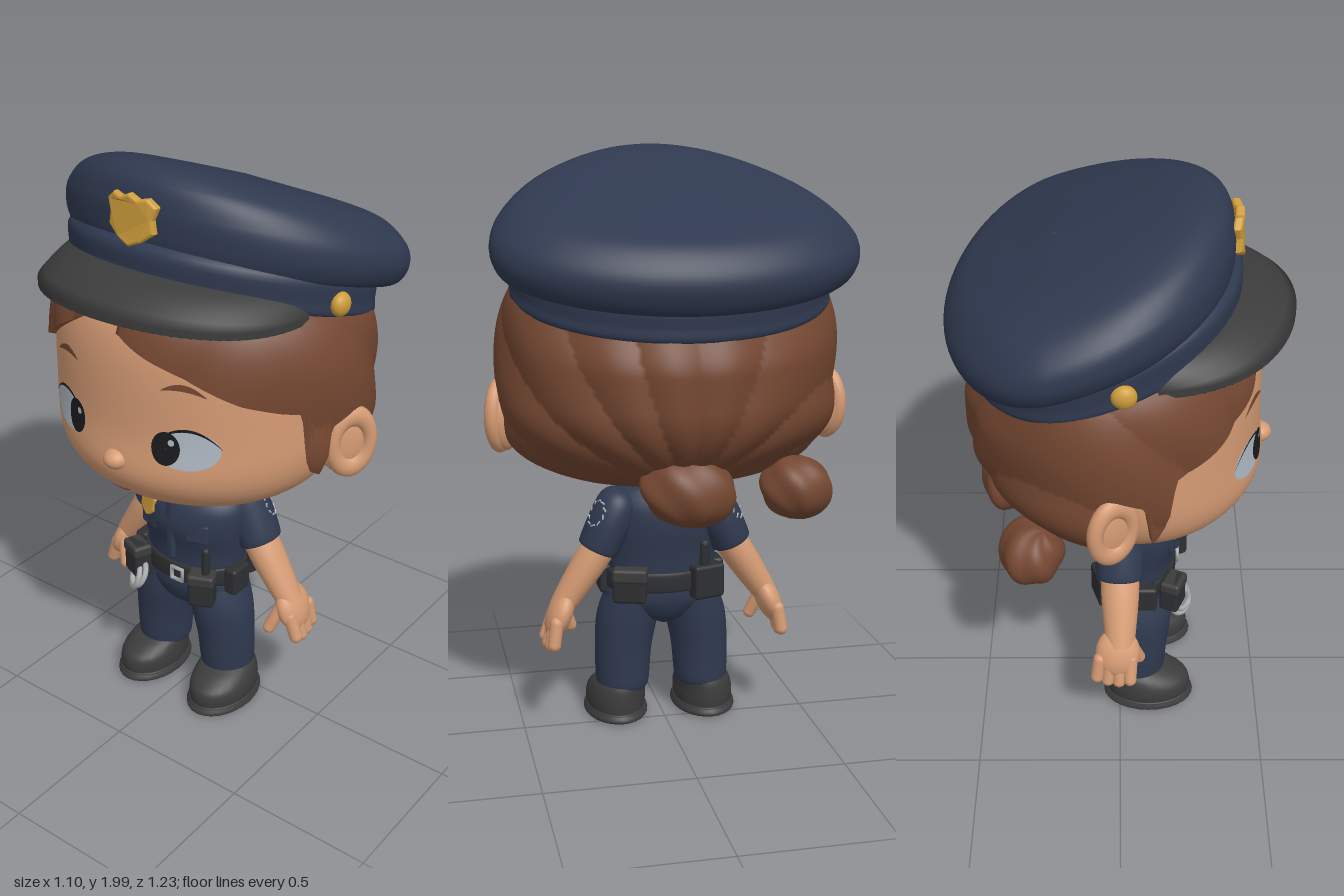
import * as THREE from 'three';
import { ParametricGeometry } from 'three/addons/geometries/ParametricGeometry.js';
import { RoundedBoxGeometry } from 'three/addons/geometries/RoundedBoxGeometry.js';

const { sin, cos, abs, PI, min, max, pow, exp } = Math;
const { lerp, smoothstep } = THREE.MathUtils;

// Surface from a function of u and v in 0..1, outward where du x dv points out
const surface = (fn, nu, nv) => new ParametricGeometry((u, v, t) => t.set(...fn(u, v)), nu, nv);

// Smooth interpolation through table rows
function sampleRows(rows, v) {
  const p = v * (rows.length - 1), i = min(Math.floor(p), rows.length - 2), t = p - i;
  const at = k => rows[max(0, min(rows.length - 1, k))];
  return rows[0].map((_, c) => {
    const a = at(i - 1)[c], b = at(i)[c], d = at(i + 1)[c], e = at(i + 2)[c];
    return b + 0.5 * t * (d - a + t * (2 * a - 5 * b + 4 * d - e + t * (3 * (b - d) + e - a)));
  });
}

// Oval cross-sections, bottom to top: [yFront, yBack, cx, cz, halfWidth, front, back]
function tilted(rows, nu = 48, nv = 40) {
  return surface((u, v) => {
    const [yF, yB, cx, cz, w, lf, lb] = sampleRows(rows, v);
    const a = (u * 2 - 1) * PI, z = cos(a) * (cos(a) > 0 ? lf : lb);
    return [cx + w * sin(a), lerp(yB, yF, (z + lb) / (lf + lb)), cz + z];
  }, nu, nv);
}
// Level cross-sections: [y, cx, cz, halfWidth, halfDepth]
const loft = (rows, nu = 28, nv = 24) =>
  tilted(rows.map(([y, cx, cz, w, d]) => [y, y, cx, cz, w, d, d]), nu, nv);

// Head surface by angle from the front and height: full cheeks, rounder nape
const HEAD_LOW = 0.87, HEAD_TOP = 1.67;
function headPoint(a, y, off = 0) {
  const front = max(cos(a), 0), back = max(-cos(a), 0);
  const k = y < 1.2 ? (1.2 - y) / 0.33 : (y - 1.2) / 0.47, n = y < 1.2 ? 2.65 + 1.1 * front - 0.65 * back : 4;
  const r = pow(max(0, 1 - pow(min(1, k), n)), 1 / n);
  const cheek = 0.022 * front * front * exp(-(((y - 1.04) / 0.1) ** 2));
  return [(0.52 + off) * r * sin(a), y, (0.46 + off + cheek) * r * cos(a)];
}
// Thin oval and thin strip that follow the face
const faceOval = (a0, y0, w, h, off) => surface((u, v) => {
  const t = -2 * PI * u, r = 0.01 + 0.99 * v;
  return headPoint(a0 + w * r * cos(t), y0 + h * r * sin(t), off);
}, 32, 6);
const faceStrip = (a0, y0, w, h, arch, slope = 0) => surface((u, v) => {
  const s = u * 2 - 1;
  return headPoint(a0 + w * s, y0 + arch * (1 - s * s) + slope * s + (v - 0.5) * h * (1.1 - s * s), 0.008);
}, 16, 2);

// Lower hair edge: [angle, height], with a sideburn ahead of the ear
const HAIRLINE = [[0, 1.51], [0.35, 1.44], [0.55, 1.395], [0.8, 1.335], [1.05, 1.295], [1.22, 1.275], [1.27, 1.1],
  [1.36, 1.03], [1.42, 1.2], [1.6, 1.24], [1.7, 0.98], [2.2, 0.9], [2.6, 0.88], [3.2, 0.875]];
function hairEdge(a) {
  const b = abs(a), i = HAIRLINE.findIndex(p => p[0] > b), [p, q] = [HAIRLINE[i - 1], HAIRLINE[i]];
  const lift = a < 0 ? 0.1 * max(0, 1 - b / 1.1) : 0;
  return lerp(p[1], q[1], (b - p[0]) / (q[0] - p[0])) + lift;
}
function hairPoint(u, v) {
  const a = (u * 2 - 1) * PI, y = lerp(hairEdge(a), lerp(1.47, 1.64, (1 + cos(a)) / 2), v);
  const back = smoothstep(abs(a), 1.9, 2.6);
  const body = 0.018 + 0.036 * smoothstep(abs(a), 1.0, 1.8) - 0.014 * back - 0.04 * back * smoothstep(v, 0.72, 1);
  const strand = Math.atan2(0.52 * sin(a), y - 0.8) * 10 + cos(a) * 3;
  return headPoint(a, y, v < 0.02 || v > 0.99 ? -0.02 : body + 0.014 * (abs(sin(strand)) - 0.5));
}

function shield(s, wide = 1) {
  const sh = new THREE.Shape();
  [[0, 0.55], [0.2, 0.44], [0.4, 0.5], [0.54, 0.36], [0.46, 0.1], [0.5, -0.2], [0.25, -0.42], [0, -0.55],
    [-0.25, -0.42], [-0.5, -0.2], [-0.46, 0.1], [-0.54, 0.36], [-0.4, 0.5], [-0.2, 0.44]]
    .forEach(([x, y], i) => (i ? sh.lineTo(x * s * wide, y * s) : sh.moveTo(x * s * wide, y * s)));
  const b = s * 0.07;
  const geo = new THREE.ExtrudeGeometry(sh, { depth: s * 0.08, bevelSize: b, bevelThickness: b, bevelSegments: 3 });
  // Bend the sides back
  const p = geo.attributes.position;
  for (let i = 0; i < p.count; i++) p.setZ(i, p.getZ(i) - 2 * p.getX(i) ** 2);
  geo.computeVertexNormals();
  return geo;
}

export function createModel() {
  const mat = (name, color) => Object.assign(new THREE.MeshStandardMaterial({ color }), { name });
  const navy = mat('navy cloth', 0x2f394f), charcoal = mat('charcoal leather', 0x3c3c3c),
    gear = mat('black gear', 0x2e2f31), hair = mat('brown hair', 0x744731), skin = mat('skin', 0xd59b74),
    gold = mat('gold', 0xcd9d3b), white = mat('pale grey', 0xb0bac4), black = mat('pupil black', 0x1b1b1e),
    silver = mat('silver', 0xa9abad), lip = mat('lip', 0x9c5f48);

  const model = new THREE.Group();
  model.name = 'officer';
  const add = (name, geo, material, pos = [0, 0, 0], rot = [0, 0, 0], scale = [1, 1, 1]) => {
    const m = new THREE.Mesh(geo, material);
    m.name = name;
    m.position.set(...pos); m.rotation.set(...rot); m.scale.set(...scale);
    model.add(m);
    return m;
  };
  const ball = (name, m, pos, scale, rot) => add(name, new THREE.SphereGeometry(1, 28, 20), m, pos, rot, scale);
  const box = (name, m, pos, size, rot) => add(name, new RoundedBoxGeometry(...size, 2, 0.012), m, pos, rot);

  // Head and face
  add('head', surface((u, v) =>
    headPoint((u * 2 - 1) * PI, lerp(HEAD_LOW, HEAD_TOP, (1 - cos(v * PI)) / 2)), 64, 44), skin);
  ball('nose', skin, [0, 1.09, 0.465], [0.042, 0.034, 0.043]);
  add('mouth', faceStrip(0, 0.99, 0.1, 0.012, -0.018), lip);
  for (const s of [1, -1]) {
    add('eyeWhite', faceOval(s * 0.48, 1.175, 0.21, 0.068, 0.004), white);
    add('pupil', faceOval(s * 0.35, 1.175, 0.09, 0.057, 0.007), black);
    add('eyeGlint', faceOval(s * 0.35 + 0.035, 1.198, 0.02, 0.011, 0.0095), white);
    add('upperLash', faceStrip(s * 0.48, 1.185, 0.22, 0.009, 0.06), black);
    add('eyebrow', faceStrip(s * 0.46, 1.365, 0.14, 0.02, 0.022, s * -0.006), hair);
    ball('ear', skin, [s * 0.535, 1.12, -0.022], [0.036, 0.115, 0.085], [0, s * -0.55, 0]);
    add('earRim', new THREE.TorusGeometry(0.064, 0.026, 12, 32), skin, [s * 0.557, 1.125, -0.022],
      [0, PI / 2 - s * 0.55, 0], [1, 1.42, 1]);
  }

  // Hair and buns
  add('hair', surface(hairPoint, 240, 44), hair);
  const bun = (name, pos, scale) => add(name, surface((u, v) => {
    const a = (u * 2 - 1) * PI, t = (v - 0.5) * PI * 0.998, r = 1 + 0.04 * sin(a * 5 + t * 4) * cos(t);
    return [r * cos(t) * sin(a), r * sin(t), r * cos(t) * cos(a)];
  }, 40, 24), hair, pos, [0.4, 0, 0.2], scale);
  bun('centreBun', [0, 0.925, -0.365], [0.155, 0.118, 0.105]);
  bun('sideBun', [-0.38, 0.895, -0.285], [0.12, 0.105, 0.105]);

  // Cap: band and crown, tilted down to the back
  add('capBand', tilted([
    [1.65, 1.42, 0, -0.08, 0.44, 0.4, 0.32], [1.655, 1.41, 0, -0.1, 0.518, 0.475, 0.37],
    [1.7, 1.455, 0, -0.1, 0.524, 0.478, 0.378], [1.76, 1.51, 0, -0.1, 0.525, 0.475, 0.38],
    [1.79, 1.54, 0, -0.1, 0.5, 0.44, 0.35]], 72, 16), navy);
  add('capCrown', tilted([
    [1.77, 1.51, 0, -0.1, 0.47, 0.42, 0.32], [1.75, 1.495, 0, -0.15, 0.53, 0.485, 0.345],
    [1.755, 1.515, 0, -0.19, 0.57, 0.535, 0.337],
    [1.81, 1.575, 0, -0.2, 0.594, 0.552, 0.35], [1.89, 1.635, 0, -0.2, 0.573, 0.548, 0.338],
    [1.965, 1.7, 0, -0.2, 0.49, 0.515, 0.29], [1.99, 1.745, 0, -0.2, 0.345, 0.43, 0.21],
    [1.925, 1.795, 0, -0.2, 0.17, 0.22, 0.1], [1.843, 1.842, 0, -0.2, 0.002, 0.002, 0.002]], 72, 56), navy);
  add('visor', surface((u, v) => {
    const t = (u * 2 - 1) * 1.5, k = [0, 1, 1, 0], seg = min(2, Math.floor(v * 3 + 1e-9));
    const f = v * 3 - seg, out = lerp(k[seg], k[seg + 1], f), top = lerp([0, 0, 1, 1][seg], [0, 0, 1, 1][seg + 1], f);
    const c = cos(t), arc = 0.02 * sin(out * PI) * c;
    return [lerp(0.485, 0.47, out) * sin(t), lerp(1.57 + 0.11 * c, 1.555 + 0.045 * c * c, out) + arc + 0.022 * top,
      lerp(-0.1 + 0.46 * c, 0.05 + 0.5 * pow(c, 0.8), out)];
  }, 48, 18), charcoal);
  add('capBadge', shield(0.13, 1.18), gold, [0, 1.85, 0.36], [-0.06, 0, 0]);
  for (const s of [1, -1]) ball('capButton', gold, [s * 0.515, 1.595, 0.01], [0.028, 0.039, 0.039]);

  // Shirt, collar and neck
  add('neck', new THREE.CylinderGeometry(0.085, 0.095, 0.14, 24), skin, [0, 0.86, 0.04]);
  add('shirt', loft([[0.5, 0, 0.06, 0.185, 0.125], [0.6, 0, 0.06, 0.192, 0.13], [0.7, 0, 0.065, 0.208, 0.148],
    [0.78, 0, 0.06, 0.21, 0.14], [0.835, 0, 0.05, 0.17, 0.11], [0.865, 0, 0.045, 0.1, 0.095]], 40), navy);
  add('collar', new THREE.TorusGeometry(0.098, 0.022, 10, 32), navy, [0, 0.858, 0.05], [PI / 2 + 0.12, 0, 0]);
  add('chestBadge', shield(0.07), gold, [-0.105, 0.748, 0.187], [-0.1, -0.3, 0]);
  box('placket', navy, [0, 0.69, 0.199], [0.035, 0.24, 0.025]);
  for (const s of [1, -1]) {
    box('collarFlap', navy, [s * 0.055, 0.83, 0.145], [0.07, 0.05, 0.025], [-0.6, s * 0.3, s * 0.5]);
    box('chestPocket', navy, [s * 0.1, 0.7, 0.184], [0.085, 0.075, 0.02], [-0.05, s * 0.3, 0]);
  }

  // Trousers
  add('hips', loft([[0.35, 0, 0.065, 0.02, 0.06], [0.38, 0, 0.065, 0.12, 0.1], [0.44, 0, 0.062, 0.2, 0.128],
    [0.5, 0, 0.06, 0.195, 0.13], [0.56, 0, 0.06, 0.185, 0.125]], 40), navy);
  for (const s of [1, -1]) {
    add('trouserLeg', loft([[0.115, s * 0.142, 0.06, 0.08, 0.085], [0.13, s * 0.142, 0.06, 0.093, 0.1],
      [0.25, s * 0.138, 0.065, 0.1, 0.106], [0.37, s * 0.122, 0.068, 0.108, 0.116], [0.47, s * 0.1, 0.065, 0.098, 0.115]]), navy);

    // Shoes
    add('shoe', loft([[0.025, s * 0.16, 0.105, 0.102, 0.15], [0.06, s * 0.16, 0.105, 0.105, 0.152],
      [0.09, s * 0.158, 0.1, 0.102, 0.146], [0.118, s * 0.153, 0.08, 0.095, 0.122], [0.14, s * 0.145, 0.058, 0.085, 0.092]]), charcoal);
    add('shoeSole', loft([[0.001, s * 0.16, 0.105, 0.002, 0.002], [0.002, s * 0.16, 0.105, 0.104, 0.152],
      [0.03, s * 0.16, 0.105, 0.107, 0.155], [0.035, s * 0.16, 0.105, 0.098, 0.145]]), charcoal);

    // Arms
    add('sleeve', loft([[-0.1, 0, 0, 0.05, 0.055], [-0.112, 0, 0, 0.066, 0.074], [-0.09, 0, 0, 0.072, 0.081],
      [0, 0, 0, 0.075, 0.083], [0.07, 0, 0.006, 0.068, 0.076], [0.105, 0, 0.01, 0.04, 0.05],
      [0.112, 0, 0.01, 0.002, 0.002]]), navy, [s * 0.19, 0.738, 0], [0, 0, s * 0.43]);
    add('forearm', loft([[-0.15, 0, 0, 0.041, 0.049], [-0.08, 0, 0, 0.049, 0.056], [0.03, 0, 0, 0.057, 0.065],
      [0.12, 0, 0, 0.057, 0.065]]), skin, [s * 0.285, 0.56, 0], [0, 0, s * 0.58]);

    // Dashed stitching of the sleeve patch
    for (let i = 0; i < 10; i++) {
      const t = i / 10 * 2 * PI, a = 2.05 + 0.45 * cos(t), y = 0.01 + 0.044 * sin(t), c = cos(s * 0.43), n = sin(s * 0.43);
      const x = s * 0.0755 * sin(a);
      add('patchStitch', new THREE.BoxGeometry(0.018, 0.005, 0.004), white,
        [s * 0.19 + x * c - y * n, 0.738 + x * n + y * c, 0.0835 * cos(a)], [0, s * a, t + PI / 2]);
    }

    // Hand with four fingers and a thumb
    ball('palm', skin, [s * 0.372, 0.415, -0.008], [0.042, 0.088, 0.077], [0, 0, s * 0.4]);
    const finger = (name, a, b, r) => {
      const p = new THREE.Vector3(...a), d = new THREE.Vector3(...b).sub(p);
      const m = add(name, new THREE.CapsuleGeometry(r, d.length(), 5, 12), skin);
      m.position.copy(p).addScaledVector(d, 0.5);
      m.quaternion.setFromUnitVectors(new THREE.Vector3(0, 1, 0), d.normalize());
    };
    for (let i = 0; i < 4; i++) {
      const z = 0.038 - i * 0.036, tip = 0.308 + abs(i - 1.4) * 0.012;
      finger('finger', [s * 0.39, 0.4, z], [s * (0.416 - 0.005 * i), tip, z * 1.05 - 0.006], 0.023);
    }
    finger('thumb', [s * 0.355, 0.43, 0.04], [s * 0.325, 0.345, 0.066], 0.022);
  }

  // Belt and gear
  add('belt', loft([[0.488, 0, 0.06, 0.185, 0.125], [0.49, 0, 0.06, 0.2, 0.139],
    [0.55, 0, 0.06, 0.199, 0.139], [0.552, 0, 0.06, 0.18, 0.12]], 48), gear);
  add('buckle', new THREE.TorusGeometry(0.032, 0.008, 6, 4), silver, [0.03, 0.52, 0.206], [0, 0, PI / 4]);
  box('backPouchLeft', gear, [0.135, 0.518, -0.06], [0.115, 0.12, 0.06], [0, -0.3, 0]);
  box('backPouchLeftFlap', charcoal, [0.135, 0.555, -0.066], [0.12, 0.05, 0.06], [0, -0.3, 0]);
  box('backRadio', gear, [-0.135, 0.518, -0.06], [0.115, 0.12, 0.06], [0, 0.3, 0]);
  add('backAntenna', new THREE.CapsuleGeometry(0.017, 0.08, 4, 10), gear, [-0.125, 0.61, -0.07]);
  [[1, 0.135, 0.2], [-1, 0.16, 0.185]].forEach(([s, x, z]) => {
    box('sidePouch', gear, [s * 0.197, 0.51, 0.085], [0.05, 0.1, 0.09]);
    box('frontPouch', gear, [s * x, 0.505, z], [0.09, 0.125, 0.07], [0, s * 0.4, 0]);
    box('frontPouchFlap', charcoal, [s * (x + 0.001), 0.545, z + 0.003], [0.095, 0.045, 0.072], [0, s * 0.4, 0]);
  });
  add('frontAntenna', new THREE.CapsuleGeometry(0.014, 0.11, 4, 10), gear, [0.15, 0.6, 0.2]);
  add('handcuffUpper', new THREE.TorusGeometry(0.044, 0.01, 8, 24), silver, [-0.135, 0.455, 0.215], [-0.6, -0.5, 0]);
  add('handcuffLower', new THREE.TorusGeometry(0.044, 0.01, 8, 24), silver, [-0.15, 0.445, 0.215], [-0.4, -0.7, 0]);

  // Built facing +z, then turned to face -x
  model.rotation.y = -PI / 2;
  const root = new THREE.Group();
  root.name = 'policeOfficerFigure';
  root.add(model);
  return root;
}
